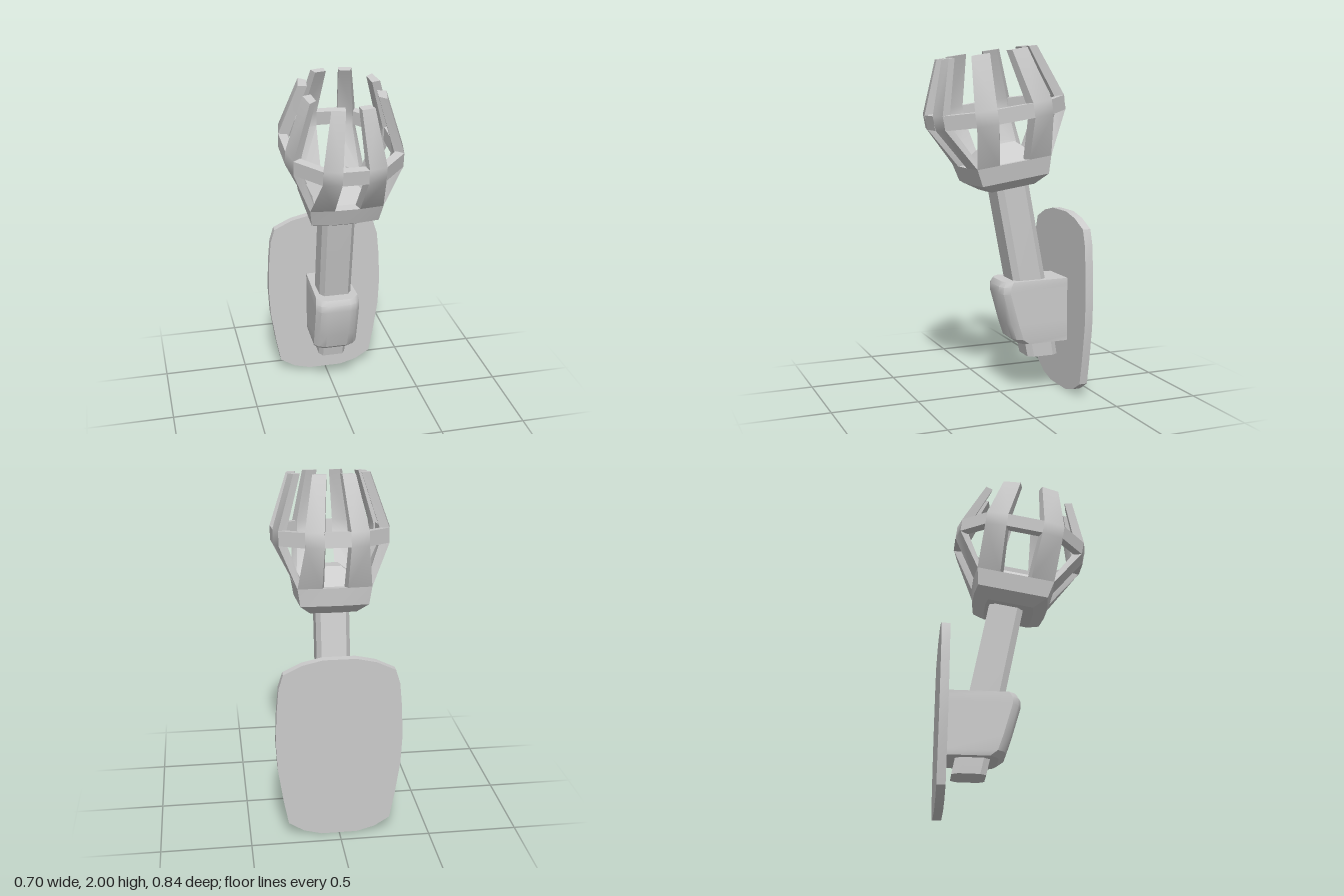
import * as THREE from 'three';
import { toCreasedNormals } from 'three/addons/utils/BufferGeometryUtils.js';

const material = new THREE.MeshStandardMaterial({ color: 0xcccccc });

function addMesh(parent, name, geometry, crease = 0.5) {
  const mesh = new THREE.Mesh(toCreasedNormals(geometry, crease), material);
  mesh.name = name;
  parent.add(mesh);
  return mesh;
}

// Skin through equal-length loops of [x, y, z] with both ends capped, always facing outward
function loft(loops) {
  const n = loops[0].length;
  const points = loops.flat().map((p) => new THREE.Vector3(...p));
  const tris = [];
  for (let l = 0; l < loops.length - 1; l++) {
    for (let i = 0; i < n; i++) {
      const a = l * n + i, b = l * n + (i + 1) % n;
      tris.push([a, b, b + n], [a, b + n, a + n]);
    }
  }
  const top = (loops.length - 1) * n;
  for (let i = 1; i < n - 1; i++) tris.push([0, i + 1, i], [top, top + i, top + i + 1]);
  let volume = 0;
  for (const [a, b, c] of tris) {
    const p = points[a];
    volume += points[b].clone().sub(points[0]).cross(points[c].clone().sub(points[0])).dot(p.clone().sub(points[0]));
  }
  if (volume < 0) tris.forEach((t) => t.reverse());
  const g = new THREE.BufferGeometry().setFromPoints(points);
  g.setIndex(tris.flat());
  return g;
}

// Loop around the centre from one quadrant of [x, z] points, listed from the z axis to the x axis
function quadLoop(quarter, y, zShift = 0) {
  const back = [...quarter].reverse();
  const flat = [
    ...quarter,
    ...back.map(([x, z]) => [x, -z]),
    ...quarter.map(([x, z]) => [-x, -z]),
    ...back.map(([x, z]) => [-x, z]),
  ];
  return flat.map(([x, z]) => [x, y, z + zShift]);
}

// Four corners at height y: outer edge a-b and its copy pushed inward
function barSection(a, b, y, thickness) {
  const inward = ([x, z]) => {
    const k = 1 - thickness / Math.hypot(x, z);
    return [x * k, y, z * k];
  };
  return [[a[0], y, a[1]], [b[0], y, b[1]], inward(b), inward(a)];
}

function createBasket() {
  const basket = new THREE.Group();
  basket.name = 'basket';

  // Cup with a flat rim and a raised block inside
  addMesh(basket, 'cup', loft([
    quadLoop([[0.06, 0.14], [0.13, 0.13], [0.13, 0.06]], -0.425),
    quadLoop([[0.07, 0.215], [0.188, 0.2], [0.188, 0.08]], -0.375),
    quadLoop([[0.07, 0.235], [0.203, 0.222], [0.203, 0.09]], -0.275),
    quadLoop([[0.06, 0.18], [0.17, 0.17], [0.17, 0.06]], -0.275),
    quadLoop([[0.03, 0.075], [0.055, 0.075], [0.055, 0.03]], -0.177),
  ]));

  // Prongs: outer edge pairs at [height, edge a, edge b, thickness]
  const endProng = [
    [-0.275, [0.07, 0.235], [0.203, 0.222], 0.05],
    [-0.04, [0.07, 0.38], [0.17, 0.358], 0.055],
    [0.04, [0.07, 0.385], [0.17, 0.362], 0.055],
    [0.332, [0.042, 0.277], [0.115, 0.262], 0.045],
  ];
  const sideProng = [
    [-0.275, [0.203, 0.09], [0.203, 0.222], 0.05],
    [-0.04, [0.32, 0.105], [0.298, 0.225], 0.06],
    [0.04, [0.32, 0.105], [0.298, 0.225], 0.06],
    [0.332, [0.225, 0.065], [0.205, 0.165], 0.05],
  ];
  const band = (name, a, b) =>
    addMesh(basket, name, loft([-0.04, 0.04].map((y) => barSection(a, b, y, 0.05))));

  for (const sx of [1, -1]) {
    for (const sz of [1, -1]) {
      const flip = ([x, z]) => [x * sx, z * sz];
      for (const [name, rows] of [['endProng', endProng], ['sideProng', sideProng]]) {
        addMesh(basket, name, loft(rows.map(([y, a, b, t]) => barSection(flip(a), flip(b), y, t))));
      }
      band('cornerBand', flip([0.17, 0.36]), flip([0.298, 0.225]));
    }
    band('sideBand', [0.32 * sx, 0.105], [0.32 * sx, -0.105]);
    band('endBand', [0.07, 0.383 * sx], [-0.07, 0.383 * sx]);
  }

  basket.position.set(0, 1.63, 0.035);
  basket.rotation.x = 0.15;
  return basket;
}

export function createModel() {
  const model = new THREE.Group();
  model.name = 'wallTorch';

  // Wall plate with bowed edges
  const half = [[0.1, 0], [0.2, 0.027], [0.285, 0.08], [0.312, 0.22], [0.342, 0.42], [0.35, 0.58],
    [0.343, 0.76], [0.33, 0.9], [0.305, 0.98], [0.2, 1.03], [0.09, 1.055]];
  const outline = [...half, ...half.map(([x, y]) => [-x, y]).reverse()];
  const plate = new THREE.ExtrudeGeometry(
    new THREE.Shape(outline.map((p) => new THREE.Vector2(...p))), { depth: 0.047, bevelEnabled: false });
  plate.translate(0, 0, -0.422);
  addMesh(model, 'wallPlate', plate, 0.35);

  // Bracket block with a sloping, rounded front: [height, front z, side inset]
  const levels = [[0.3, -0.085, 0.01], [0.33, -0.045, 0], [0.42, -0.015, 0], [0.6, 0.035, 0], [0.64, 0.033, 0], [0.67, 0.015, 0.006]];
  addMesh(model, 'bracket', loft(levels.map(([y, front, inset]) => {
    const right = [[0.065, front], [0.105 - inset, front - 0.015], [0.13 - inset, front - 0.05], [0.115, -0.38]];
    return [...right, ...right.map(([x, z]) => [-x, z]).reverse()].map(([x, z]) => [x, y, z]);
  })), 0.6);

  // Leaning shaft with chamfered corners, cut level at both ends
  addMesh(model, 'shaft', loft([
    quadLoop([[0.06, 0.093], [0.08, 0.06]], 0.21, -0.243),
    quadLoop([[0.07, 0.1], [0.094, 0.065]], 0.67, -0.152),
    quadLoop([[0.07, 0.1], [0.094, 0.065]], 1.24, -0.043),
  ]));

  model.add(createBasket());
  return model;
}
